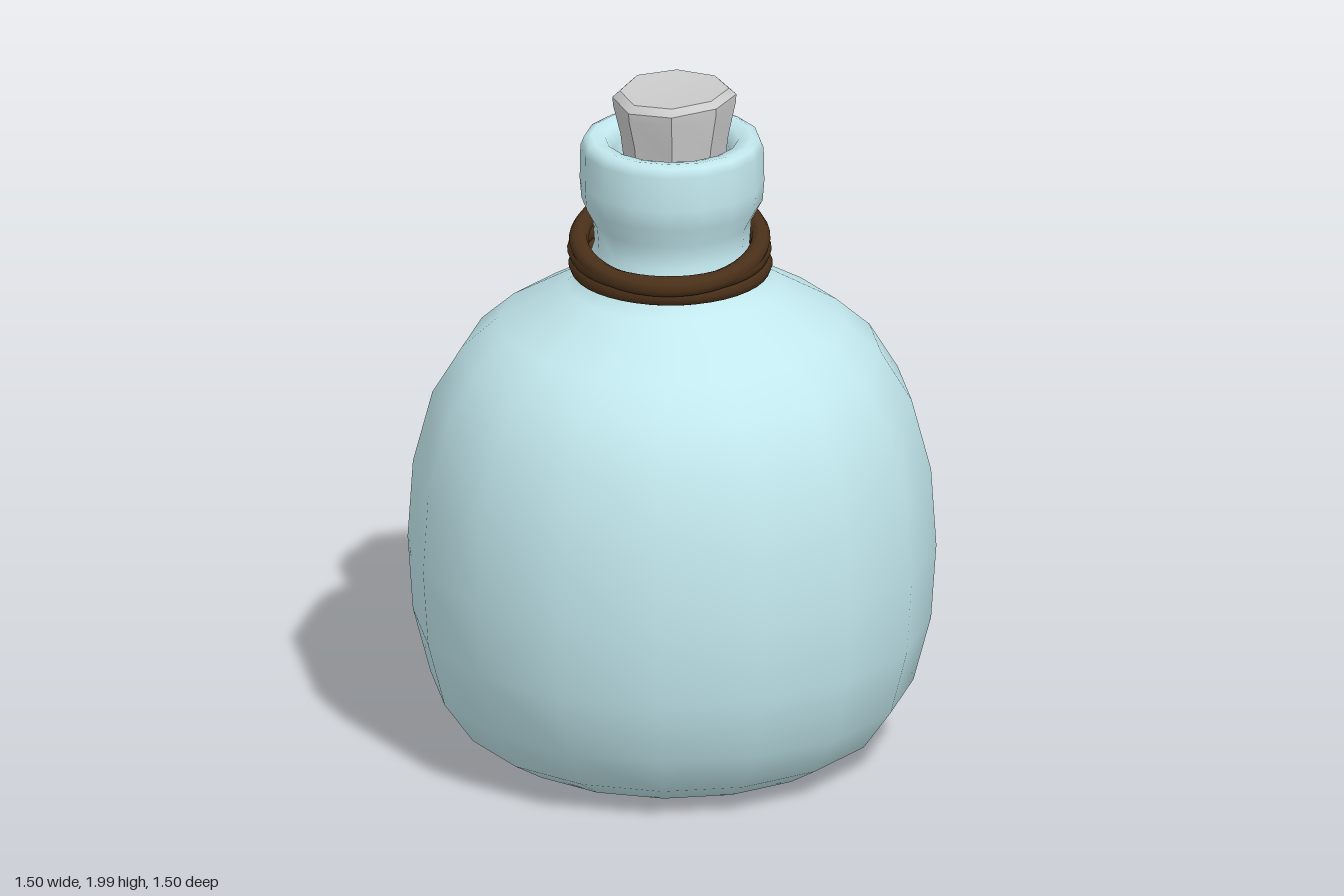
import * as THREE from 'three';
import { toCreasedNormals } from 'three/addons/utils/BufferGeometryUtils.js';

const material = (color) => new THREE.MeshStandardMaterial({ color, roughness: 0.8 });

function lathe(profile, sides) {
  return new THREE.LatheGeometry(profile.map(([r, y]) => new THREE.Vector2(r, y)), sides);
}

function addMesh(parent, name, geometry, mat) {
  const mesh = new THREE.Mesh(geometry, mat);
  mesh.name = name;
  parent.add(mesh);
  return mesh;
}

export function createModel() {
  const model = new THREE.Group();
  model.name = 'corkedBottle';

  // Round body, shoulder, collar and the inside of the mouth in one profile
  const glass = material(0xc2e8ee);
  glass.side = THREE.DoubleSide;
  addMesh(model, 'bottle', lathe([
    [0, 0.005], [0.28, 0.005], [0.37, 0.01], [0.5, 0.03], [0.6, 0.09], [0.685, 0.21],
    [0.735, 0.4], [0.75, 0.62], [0.735, 0.85], [0.68, 1.06], [0.595, 1.2],
    [0.495, 1.29], [0.3, 1.405], [0.245, 1.45], [0.22, 1.53], [0.225, 1.6],
    [0.257, 1.66], [0.262, 1.72], [0.26, 1.82], [0.25, 1.845], [0.23, 1.853],
    [0.19, 1.845], [0.165, 1.81], [0.16, 1.7], [0.16, 1.55],
  ], 16), glass);

  // Eight-sided cork with a worn, uneven top
  const cork = lathe([
    [0, 1.66], [0.13, 1.66], [0.153, 1.85], [0.174, 1.94], [0.176, 1.965],
    [0.155, 1.985], [0, 1.982],
  ], 8);
  const p = cork.attributes.position;
  for (let i = 0; i < p.count; i++) {
    const x = p.getX(i), z = p.getZ(i);
    if (p.getY(i) > 1.9) p.setY(i, p.getY(i) + 0.03 * x - 0.03 * z + 0.3 * x * x);
  }
  cork.translate(-0.003, 0, -0.012);
  addMesh(model, 'cork', toCreasedNormals(cork, 0.75), material(0xcccccc));

  // Cord wound three times round the neck; the upper turns rise to the back right
  const cord = new THREE.Group();
  cord.name = 'neckCord';
  model.add(cord);
  const cordMat = material(0x4a3019);
  const turns = [
    { y: 1.466, rise: 0.002, x: -0.004, z: 0.002, r: 0.262 },
    { y: 1.514, rise: 0.012, x: 0.002, z: 0.012, r: 0.262 },
    { y: 1.546, rise: 0.05, x: 0.008, z: 0.016, r: 0.258 },
  ];
  turns.forEach((t, k) => {
    const points = [];
    for (let i = 0; i < 16; i++) {
      const a = (i / 16) * Math.PI * 2;
      const lift = -t.rise * Math.cos(a - Math.PI / 4);
      points.push(new THREE.Vector3(t.x + t.r * Math.cos(a), t.y + lift, t.z + t.r * Math.sin(a)));
    }
    const curve = new THREE.CatmullRomCurve3(points, true);
    addMesh(cord, `cordTurn${k + 1}`, new THREE.TubeGeometry(curve, 40, 0.028, 8, true), cordMat);
  });

  return model;
}
